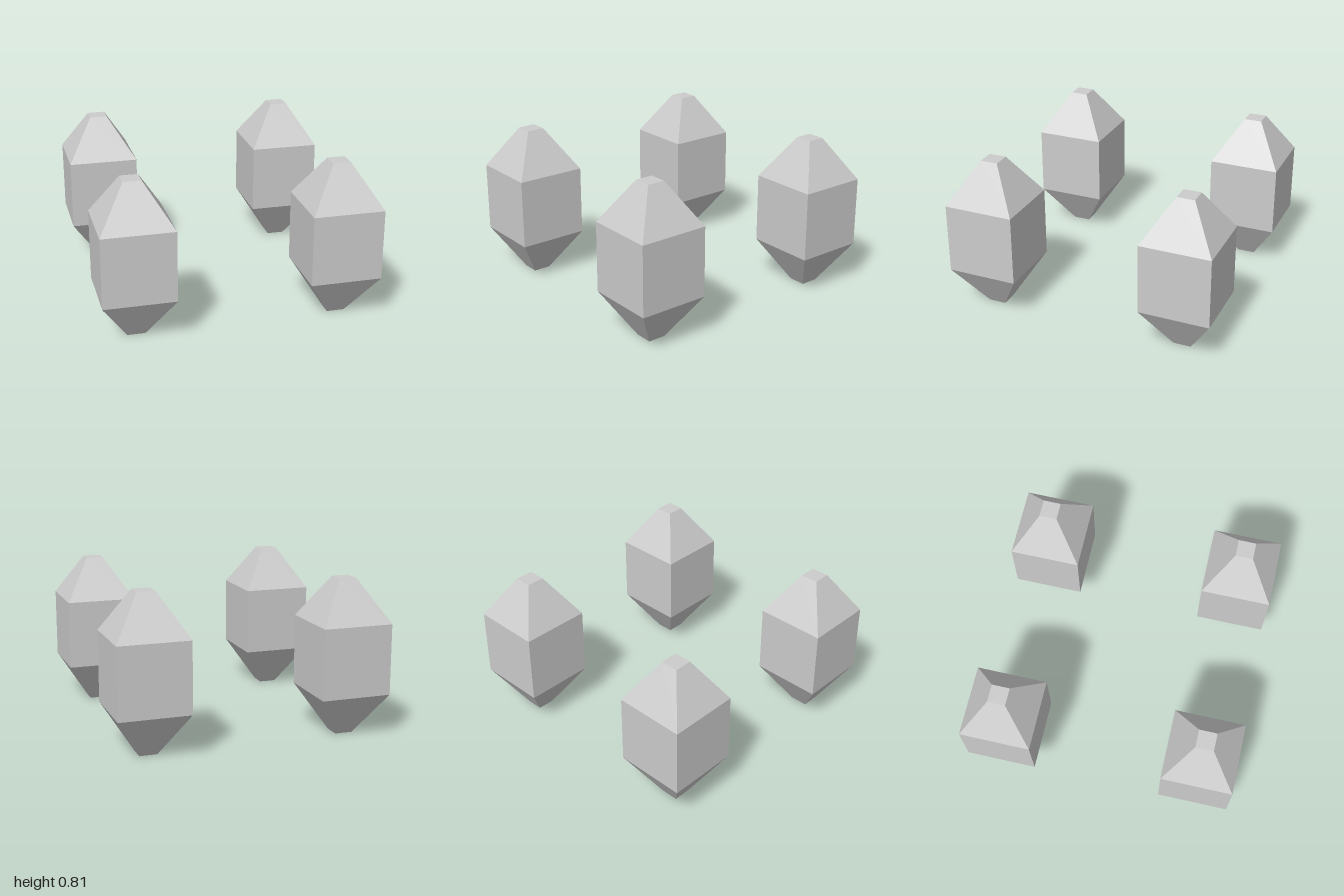
import * as THREE from 'three';

// Half-profile of one crystal, from bottom centre to top centre
const profile = [[0, 0], [0.065, 0], [0.26, 0.225], [0.26, 0.59], [0.065, 0.81], [0, 0.81]]
  .map(([r, y]) => new THREE.Vector2(r, y));

export function createModel() {
  const model = new THREE.Group();
  model.name = 'crystalRing';

  const material = new THREE.MeshStandardMaterial({ color: 0xcccccc, flatShading: true });
  // Four-sided crystal with its corners on the x and z axes
  const geometry = new THREE.LatheGeometry(profile, 4);

  // Four crystals in a ring: front, left, back, right
  const ringRadius = 0.74;
  ['frontCrystal', 'leftCrystal', 'backCrystal', 'rightCrystal'].forEach((name, i) => {
    const angle = (i * Math.PI) / 2;
    const crystal = new THREE.Mesh(geometry, material);
    crystal.name = name;
    crystal.position.set(ringRadius * Math.sin(angle), 0, ringRadius * Math.cos(angle));
    model.add(crystal);
  });

  return model;
}
